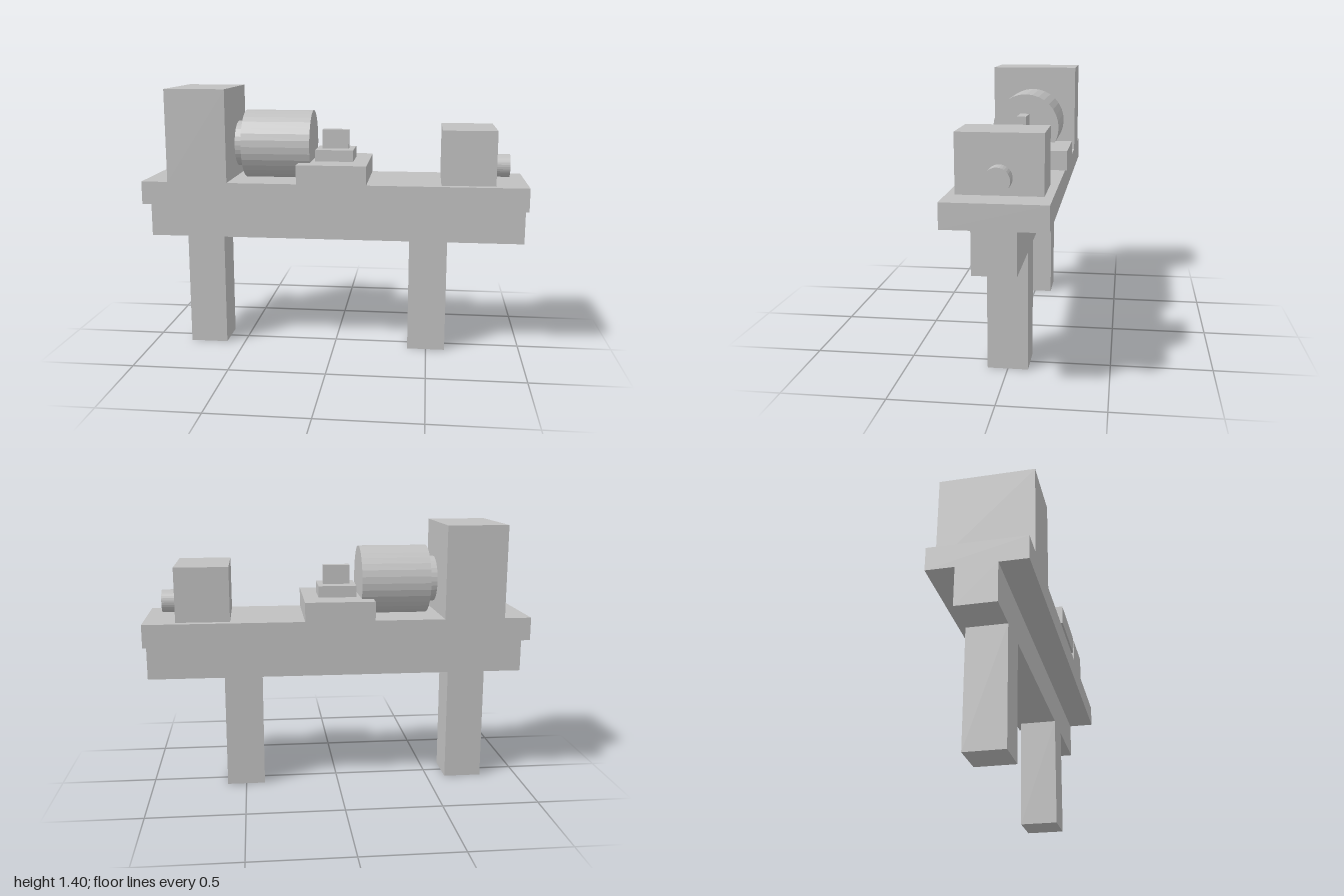
import * as THREE from 'three';

export function createModel() {
  const model = new THREE.Group();
  model.name = 'lathe';
  const metal = new THREE.MeshStandardMaterial({ color: 0xc0c0c0 });
  metal.name = 'grey metal';
  metal.flatShading = true;

  // Box spanning x0..x1 and y0..y1, centred on z = 0
  function box(name, x0, x1, y0, y1, depth) {
    const mesh = new THREE.Mesh(new THREE.BoxGeometry(x1 - x0, y1 - y0, depth), metal);
    mesh.position.set((x0 + x1) / 2, (y0 + y1) / 2, 0);
    mesh.name = name;
    model.add(mesh);
  }

  // Cylinder lying along x
  function shaft(name, x0, x1, y, radius) {
    const geometry = new THREE.CylinderGeometry(radius, radius, x1 - x0, 32);
    geometry.rotateZ(-Math.PI / 2);
    const mesh = new THREE.Mesh(geometry, metal);
    mesh.position.set((x0 + x1) / 2, y, 0);
    mesh.name = name;
    model.add(mesh);
  }

  // Stand and bed
  box('rightLeg', -0.8, -0.6, 0, 0.6, 0.2);
  box('leftLeg', 0.4, 0.6, 0, 0.6, 0.2);
  box('beam', -1, 1, 0.6, 0.8, 0.2);
  box('bed', -1, 1, 0.8, 0.92, 0.48);

  // Headstock with spindle and chuck
  box('headstock', -0.86, -0.545, 0.92, 1.4, 0.48);
  shaft('spindle', -0.525, -0.48, 1.1, 0.12);
  shaft('chuck', -0.48, -0.12, 1.1, 0.18);

  // Carriage with cross slide and tool post
  box('carriage', -0.18, 0.18, 0.92, 1.02, 0.5);
  box('crossSlide', -0.1, 0.1, 1.02, 1.08, 0.2);
  box('toolPost', -0.07, 0.07, 1.08, 1.18, 0.05);

  // Tailstock with its handle shaft
  box('tailstock', 0.56, 0.835, 0.92, 1.2, 0.4);
  shaft('tailstockShaft', 0.835, 0.915, 1.0, 0.06);

  return model;
}
